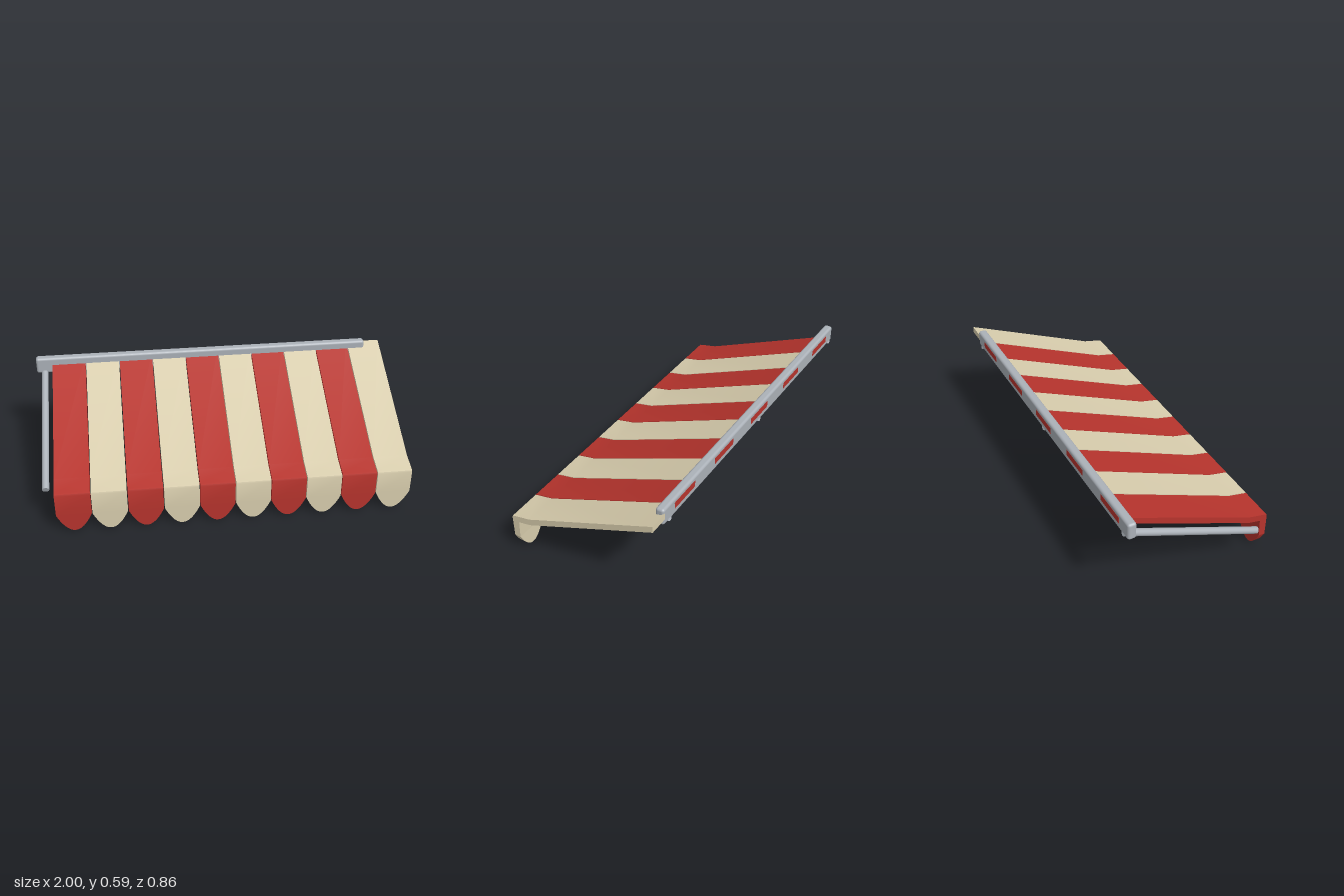
import * as THREE from 'three';
import { toCreasedNormals } from 'three/addons/utils/BufferGeometryUtils.js';
import { RoundedBoxGeometry } from 'three/addons/geometries/RoundedBoxGeometry.js';

const STRIPES = 10;
const PITCH = 0.1911;
const WIDTH = 0.187;
const FIRST_X = -0.815;

function makeMaterial(name, color) {
  const material = new THREE.MeshStandardMaterial({ color });
  material.name = name;
  return material;
}

// Side profile (z, y) of one canvas strip, extruded across its width
function canvasGeometry(backZ) {
  const profile = [
    [backZ, 0.571], [0.32, 0.262], [0.418, 0.242], [0.429, 0.239], [0.432, 0.23], [0.432, 0.104],
    [0.397, 0.104], [0.392, 0.21], [0.32, 0.224], [backZ, 0.535],
  ].map(([z, y]) => new THREE.Vector2(z, y));
  const geometry = new THREE.ExtrudeGeometry(new THREE.Shape(profile), { depth: WIDTH, bevelEnabled: false });
  geometry.translate(0, 0, -WIDTH / 2).rotateY(-Math.PI / 2);
  return toCreasedNormals(geometry, 0.95);
}

// Hanging parabolic flap below each strip
function scallopGeometry() {
  const w = WIDTH / 2;
  const top = 0.104;
  const shape = new THREE.Shape();
  shape.moveTo(w, top);
  shape.lineTo(-w, top);
  shape.quadraticCurveTo(0, -top, w, top);
  const geometry = new THREE.ExtrudeGeometry(shape, { depth: 0.035, bevelEnabled: false, curveSegments: 20 });
  geometry.translate(0, 0, 0.397);
  return toCreasedNormals(geometry, 0.7);
}

export function createModel() {
  const model = new THREE.Group();
  model.name = 'awning';
  const red = makeMaterial('red canvas', 0xb7342d);
  const cream = makeMaterial('cream canvas', 0xd9ceae);
  const metal = makeMaterial('grey metal', 0xabb1b8);

  const add = (parent, name, geometry, material) => {
    const mesh = new THREE.Mesh(geometry, material);
    mesh.name = name;
    parent.add(mesh);
    return mesh;
  };

  // Alternating canvas strips; the red ones stand slightly proud of the rail's back
  const redCanvas = canvasGeometry(-0.426);
  const creamCanvas = canvasGeometry(-0.4245);
  const scallop = scallopGeometry();
  for (let i = 0; i < STRIPES; i++) {
    const isRed = i % 2 === 0;
    const strip = new THREE.Group();
    strip.name = isRed ? 'redStrip' : 'creamStrip';
    strip.position.x = FIRST_X + i * PITCH;
    add(strip, 'canvas', isRed ? redCanvas : creamCanvas, isRed ? red : cream);
    add(strip, 'scallop', scallop, isRed ? red : cream);
    model.add(strip);
  }

  // Wall rail
  const rail = add(model, 'wallRail', new RoundedBoxGeometry(1.905, 0.094, 0.047, 3, 0.014), metal);
  rail.position.set(-0.0475, 0.547, -0.4015);

  // Three sloping support arms
  const low = new THREE.Vector3(0, 0.208, 0.337);
  const high = new THREE.Vector3(0, 0.518, -0.423);
  const direction = high.clone().sub(low);
  const armGeometry = new THREE.CylinderGeometry(0.019, 0.019, direction.length(), 20);
  for (const x of [-0.955, -0.05, 0.855]) {
    const arm = add(model, 'supportArm', armGeometry, metal);
    arm.position.addVectors(low, high).multiplyScalar(0.5).setX(x);
    arm.quaternion.setFromUnitVectors(new THREE.Vector3(0, 1, 0), direction.clone().normalize());
  }

  return model;
}
